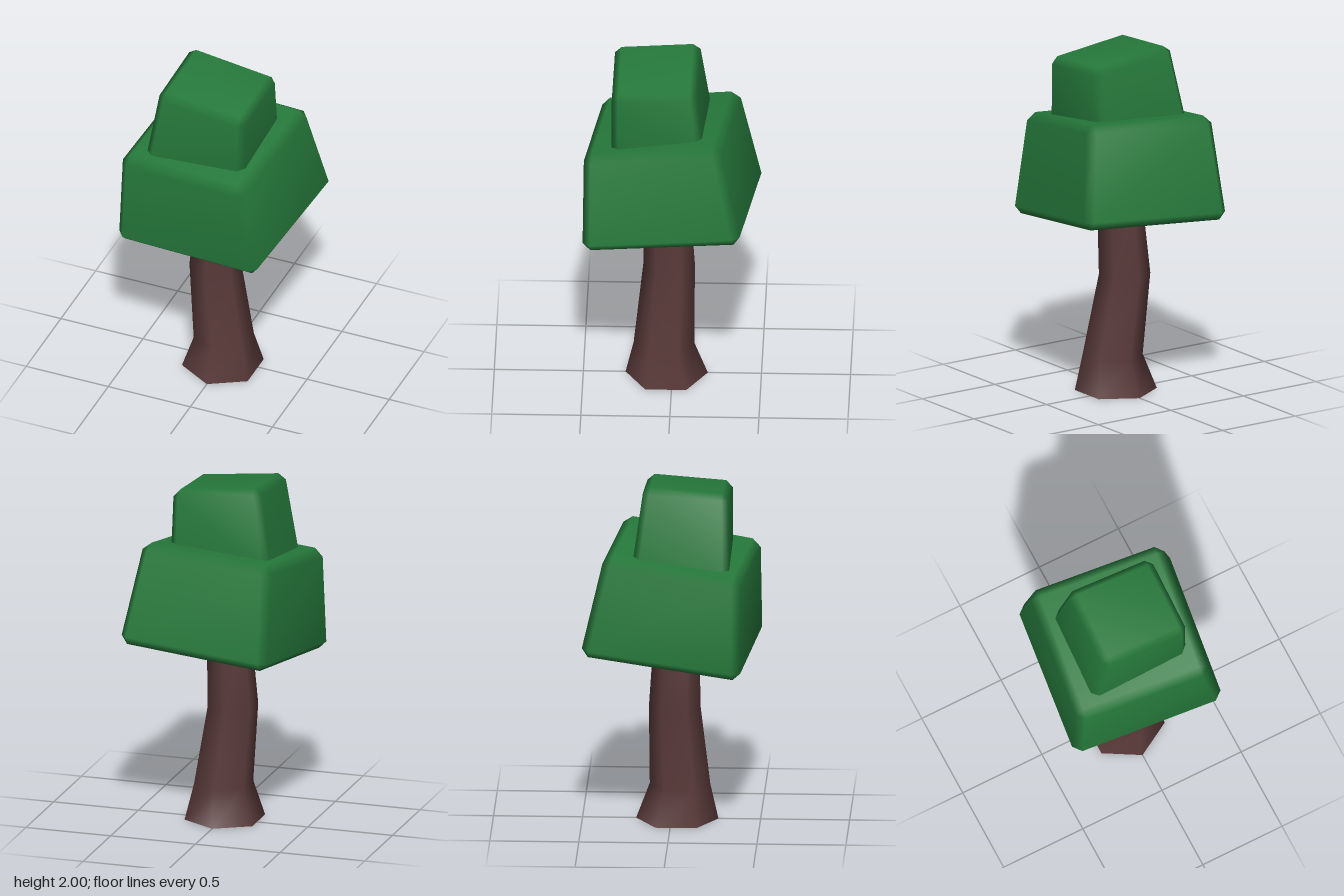
import * as THREE from 'three';
import { mergeVertices } from 'three/addons/utils/BufferGeometryUtils.js';
import { ConvexGeometry } from 'three/addons/geometries/ConvexGeometry.js';

const leafGreen = new THREE.MeshStandardMaterial({ color: 0x267a3c });
const barkBrown = new THREE.MeshStandardMaterial({ color: 0x5a3a3a });

// Weld a geometry and give it soft, area-weighted normals
function smooth(geometry) {
  geometry.deleteAttribute('normal');
  geometry.deleteAttribute('uv');
  const welded = mergeVertices(geometry, 1e-4);
  welded.computeVertexNormals();
  return welded;
}

// Skewed block with chamfered edges. Corners run round each ring:
// front left, front right, back right, back left
function foliageBlock(name, bottom, top, bevel) {
  const rings = [bottom, top].map(ring => ring.map(p => new THREE.Vector3(...p)));
  const points = [];
  rings.forEach((ring, level) => ring.forEach((corner, i) => {
    const dirs = [ring[(i + 1) % 4], ring[(i + 3) % 4], rings[1 - level][i]]
      .map(n => n.clone().sub(corner).normalize().multiplyScalar(bevel));
    // one point on each of the three faces that meet here
    for (let k = 0; k < 3; k++) {
      points.push(corner.clone().add(dirs[k]).add(dirs[(k + 1) % 3]));
    }
  }));
  const mesh = new THREE.Mesh(smooth(new ConvexGeometry(points)), leafGreen);
  mesh.name = name;
  return mesh;
}

// Bent six-sided trunk; each ring is [y, centre x, centre z, radius]
function trunk() {
  const group = new THREE.Group();
  group.name = 'trunk';
  const rings = [
    [1.1, -0.025, 0.03, 0.127],
    [0.67, -0.052, 0.02, 0.145],
    [0.2, 0.012, 0.047, 0.17],
    [0, 0, 0.032, 0.231],
  ];
  const geometry = new THREE.CylinderGeometry(1, 1, 1, 6, rings.length - 1, true);
  const pos = geometry.attributes.position;
  for (let i = 0; i < pos.count; i++) {
    const [y, cx, cz, r] = rings[Math.floor(i / 7)];
    pos.setXYZ(i, cx + pos.getX(i) * r, y, cz + pos.getZ(i) * r);
  }
  const bark = new THREE.Mesh(smooth(geometry), barkBrown);
  bark.name = 'bark';

  // Underside of the trunk
  const base = new THREE.Mesh(new THREE.CircleGeometry(0.231, 6, Math.PI / 2), barkBrown);
  base.name = 'trunkBase';
  base.rotation.x = Math.PI / 2;
  base.position.z = 0.032;
  group.add(bark, base);
  return group;
}

export function createModel() {
  const tree = new THREE.Group();
  tree.name = 'tree';
  tree.add(
    trunk(),
    foliageBlock('lowerFoliage',
      [[-0.5, 0.935, 0.4], [0.395, 0.985, 0.5], [0.5, 1.1, -0.395], [-0.405, 1.045, -0.505]],
      [[-0.475, 1.52, 0.4], [0.3, 1.56, 0.495], [0.395, 1.67, -0.27], [-0.39, 1.625, -0.37]],
      0.045),
    foliageBlock('upperFoliage',
      [[-0.36, 1.46, 0.337], [0.25, 1.44, 0.337], [0.262, 1.5, -0.185], [-0.345, 1.5, -0.22]],
      [[-0.27, 1.97, 0.328], [0.25, 1.91, 0.335], [0.258, 1.945, -0.14], [-0.26, 2.006, -0.147]],
      0.037),
  );
  return tree;
}
